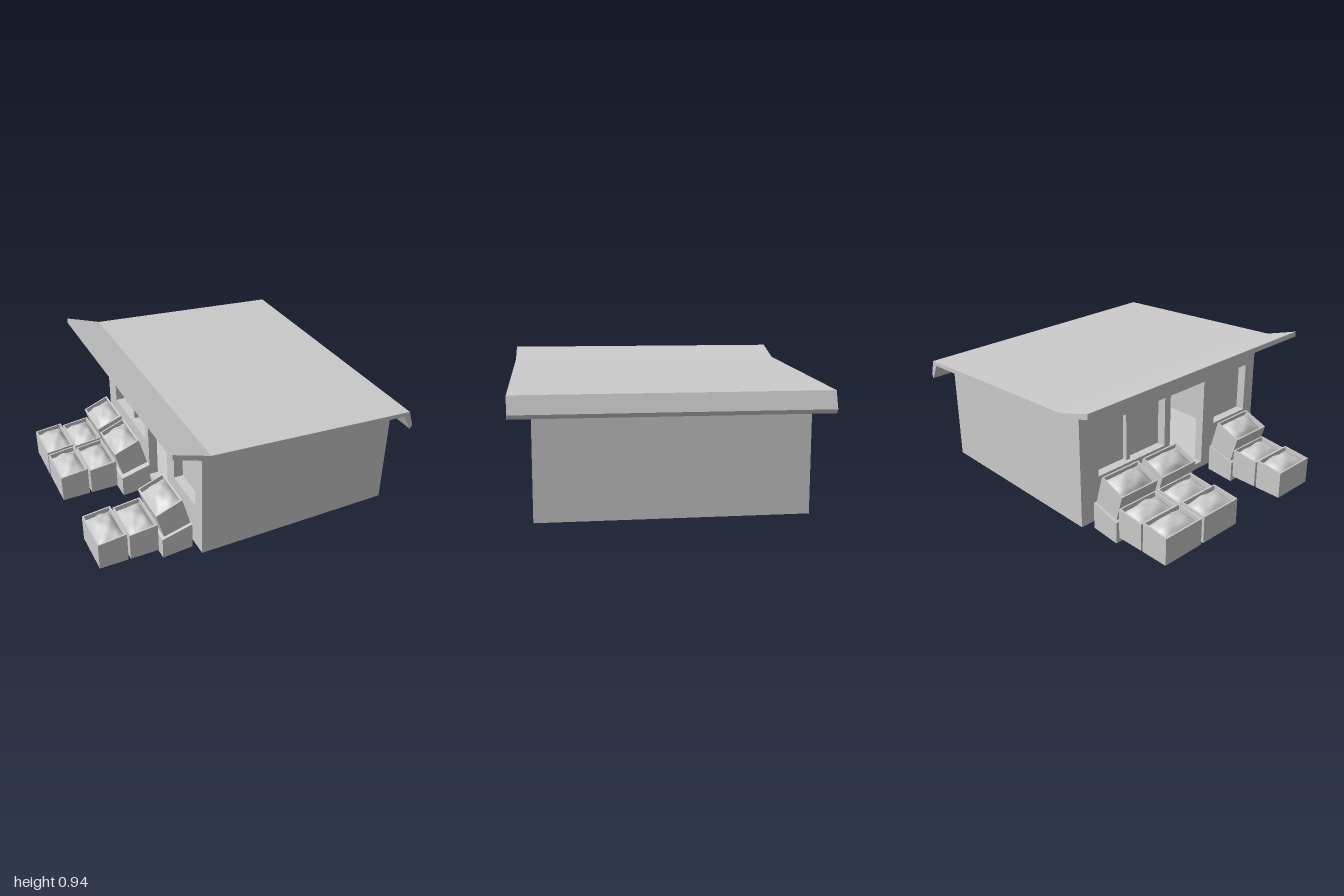
import * as THREE from 'three';

const grey = new THREE.MeshStandardMaterial({ color: 0xcccccc });
grey.name = 'plain grey';

function add(parent, name, geometry, x = 0, y = 0, z = 0) {
  const mesh = new THREE.Mesh(geometry, grey);
  mesh.name = name;
  mesh.position.set(x, y, z);
  parent.add(mesh);
  return mesh;
}

const box = (w, h, d) => new THREE.BoxGeometry(w, h, d);
const outline = (pts) => new THREE.Shape(pts.map(([x, y]) => new THREE.Vector2(x, y)));

// Side profile in x/y, extruded from z0 to z1
function prism(pts, z0, z1) {
  const g = new THREE.ExtrudeGeometry(outline(pts), { depth: z1 - z0, bevelEnabled: false });
  return g.translate(0, 0, z0);
}

// Heap of produce: a grid raised into a lumpy mound
function moundGeometry(w, d, seed) {
  const g = new THREE.PlaneGeometry(w, d, 8, 10).rotateX(-Math.PI / 2);
  const p = g.attributes.position;
  for (let i = 0; i < p.count; i++) {
    const u = p.getX(i) / w, v = p.getZ(i) / d;
    const dome = Math.cos(u * Math.PI) * Math.cos(v * Math.PI);
    const lumps = 0.25 * Math.sin(u * 9 + seed) * Math.cos(v * 11 + seed * 2);
    p.setY(i, 0.05 * Math.sqrt(Math.max(dome, 0)) * (1 + lumps) + u * 0.02);
  }
  g.computeVertexNormals();
  return g;
}

const CW = 0.185, CD = 0.3, T = 0.01;

// Open crate; its origin is the lower outer edge, centred in z
function crate(seed) {
  const group = new THREE.Group();
  group.name = 'crate';
  const side = [[0, 0], [CW, 0], [CW, 0.2], [0, 0.18]];
  add(group, 'crateEnd', prism(side, -CD / 2, -CD / 2 + T));
  add(group, 'crateEnd', prism(side, CD / 2 - T, CD / 2));
  const inner = CD - 2 * T;
  add(group, 'crateFront', box(T, 0.18, inner), T / 2, 0.09, 0);
  add(group, 'crateBack', box(T, 0.2, inner), CW - T / 2, 0.1, 0);
  add(group, 'crateBottom', box(CW - 2 * T, T, inner), CW / 2, T / 2, 0);
  add(group, 'produce', moundGeometry(CW - 2 * T, inner, seed), CW / 2, 0.158, 0);
  return group;
}

export function createModel() {
  const model = new THREE.Group();
  model.name = 'shop';

  // Sloping roof with upturned awning edge and drooping rear edge
  add(model, 'roof', prism([
    [-0.625, 0.915], [-0.39, 0.84], [0.93, 0.765], [0.985, 0.66],
    [1.0, 0.685], [0.965, 0.79], [-0.395, 0.875], [-0.625, 0.95],
  ], -0.93, 0.93));

  // Side walls, rear wall and floor
  const wall = [[-0.33, 0.06], [0.93, 0.06], [0.93, 0.766], [-0.33, 0.838]];
  add(model, 'sideWall', prism(wall, -0.8, -0.76));
  add(model, 'sideWall', prism(wall, 0.76, 0.8));
  add(model, 'rearWall', box(0.04, 0.706, 1.52), 0.91, 0.413, 0);
  add(model, 'floor', box(1.22, 0.04, 1.52), 0.28, 0.08, 0);

  // Shop front with window openings and a doorway
  const front = outline([[-0.8, 0.06], [0.8, 0.06], [0.8, 0.842], [-0.8, 0.842]]);
  const openings = [[-0.66, -0.09, 0.36, 0.7], [-0.04, 0.28, 0.1, 0.7], [0.39, 0.71, 0.36, 0.7]];
  for (const [a, b, y0, y1] of openings) {
    front.holes.push(new THREE.Path([[a, y0], [a, y1], [b, y1], [b, y0]]
      .map(([x, y]) => new THREE.Vector2(x, y))));
  }
  const frontGeometry = new THREE.ExtrudeGeometry(front, { depth: 0.06, bevelEnabled: false });
  add(model, 'shopFront', frontGeometry.rotateY(-Math.PI / 2), -0.33, 0, 0);

  // Window panes and mullion
  for (const [a, b, y0, y1] of [openings[0], openings[2]]) {
    add(model, 'windowPane', box(0.009, y1 - y0 + 0.02, b - a + 0.02), -0.325, (y0 + y1) / 2, (a + b) / 2);
  }
  add(model, 'mullion', box(0.03, 0.34, 0.03), -0.345, 0.53, -0.385);

  // Low crates standing in two rows
  [-0.55, -0.23, 0.5].forEach((z, i) => {
    [-1, -0.8].forEach((x, j) => {
      const c = crate(i * 2 + j);
      c.position.set(x, 0.05, z);
      model.add(c);
    });
  });

  // Wedge stands carrying tilted crates
  const stand = [[-0.6, 0.005], [-0.4, 0.02], [-0.4, 0.2], [-0.6, 0.147]];
  add(model, 'crateStand', prism(stand, -0.71, -0.01));
  add(model, 'crateStand', prism(stand, 0.35, 0.68));
  [-0.54, -0.2, 0.51].forEach((z, i) => {
    const c = crate(i + 7);
    c.position.set(-0.582, 0.152, z);
    c.rotation.z = 0.262;
    model.add(c);
  });

  return model;
}
